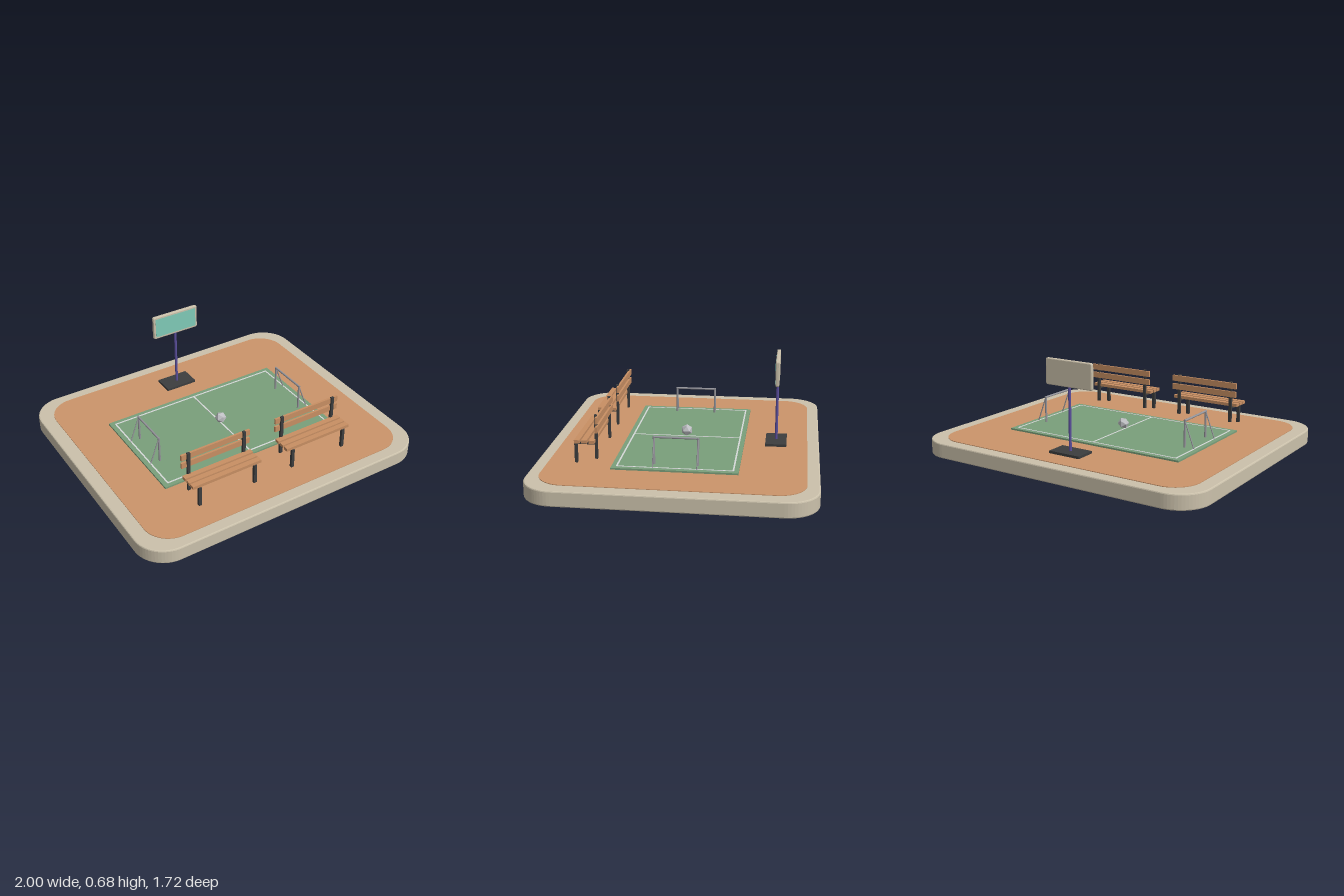
import * as THREE from 'three';

const mat = (name, color) => Object.assign(new THREE.MeshStandardMaterial({ color }), { name });
const M = {
  stone: mat('stone', 0xcbc1ab),
  clay: mat('clay', 0xcb956b),
  grass: mat('grass', 0x7a9f7b),
  paint: mat('linePaint', 0xd6d9d8),
  wood: mat('wood', 0xc88f63),
  iron: mat('darkIron', 0x3c3d3e),
  steel: mat('steel', 0x96969c),
  pole: mat('purplePole', 0x5b4f9e),
  screen: mat('screen', 0x7fcab8),
  ball: mat('ball', 0xbfc0c4),
};

function add(parent, name, geometry, material, x = 0, y = 0, z = 0) {
  const mesh = new THREE.Mesh(geometry, material);
  mesh.name = name;
  mesh.position.set(x, y, z);
  parent.add(mesh);
  return mesh;
}

const box = (parent, name, material, w, h, d, x, y, z) =>
  add(parent, name, new THREE.BoxGeometry(w, h, d), material, x, y, z);

// Round bar between two points
function bar(parent, name, material, r, a, b) {
  const p = new THREE.Vector3(...a), q = new THREE.Vector3(...b);
  const mid = p.clone().add(q).multiplyScalar(0.5);
  const mesh = add(parent, name, new THREE.CylinderGeometry(r, r, p.distanceTo(q), 10), material, mid.x, mid.y, mid.z);
  mesh.quaternion.setFromUnitVectors(new THREE.Vector3(0, 1, 0), q.sub(p).normalize());
  return mesh;
}

// Rounded rectangle extruded along z from 0 to depth, bevel kept inside the given size
function roundedPlate(w, h, r, depth, bevel) {
  const x = w / 2 - bevel, y = h / 2 - bevel, k = Math.max(r - bevel, 0.001);
  const s = new THREE.Shape();
  s.absarc(x - k, y - k, k, 0, Math.PI / 2);
  s.absarc(-x + k, y - k, k, Math.PI / 2, Math.PI);
  s.absarc(-x + k, -y + k, k, Math.PI, Math.PI * 1.5);
  s.absarc(x - k, -y + k, k, Math.PI * 1.5, Math.PI * 2);
  const geo = new THREE.ExtrudeGeometry(s, {
    depth: depth - 2 * bevel, bevelEnabled: bevel > 0,
    bevelSize: bevel, bevelThickness: bevel, bevelSegments: 2, curveSegments: 8,
  });
  return geo.translate(0, 0, bevel);
}

function makeBench(x) {
  const bench = new THREE.Group();
  bench.name = 'bench';
  bench.position.x = x;
  for (const z of [0.507, 0.553, 0.597])
    box(bench, 'seatSlat', M.wood, 0.48, 0.02, 0.034, 0, 0.246, z);
  for (const y of [0.322, 0.38])
    box(bench, 'backSlat', M.wood, 0.48, 0.039, 0.014, 0, y, 0.477);
  for (const side of [-1, 1]) {
    const px = side * 0.195;
    box(bench, 'frontLeg', M.iron, 0.02, 0.136, 0.018, px, 0.168, 0.612);
    box(bench, 'backPost', M.iron, 0.02, 0.277, 0.016, px, 0.268, 0.486);
    box(bench, 'seatRail', M.iron, 0.018, 0.016, 0.128, px, 0.228, 0.55);
  }
  return bench;
}

function makeGoal(side) {
  const goal = new THREE.Group();
  goal.name = 'goal';
  const x = side * 0.535, back = side * 0.6;
  for (const z of [-0.133, 0.133]) {
    bar(goal, 'goalPost', M.steel, 0.007, [x, 0.11, z], [x, 0.288, z]);
    bar(goal, 'goalBrace', M.steel, 0.004, [back, 0.112, z], [x, 0.283, z]);
  }
  bar(goal, 'crossbar', M.steel, 0.007, [x, 0.283, -0.139], [x, 0.283, 0.139]);
  return goal;
}

function makeSign() {
  const sign = new THREE.Group();
  sign.name = 'scoreboard';
  sign.position.z = -0.584;
  box(sign, 'signFoot', M.iron, 0.22, 0.018, 0.135, 0, 0.108, 0);
  bar(sign, 'signPole', M.pole, 0.009, [0, 0.1, 0], [0, 0.53, 0]);
  add(sign, 'signPanel', roundedPlate(0.336, 0.164, 0.012, 0.024, 0.006), M.stone, 0, 0.593, -0.012);
  box(sign, 'signScreen', M.screen, 0.306, 0.134, 0.004, 0, 0.593, 0.0115);
  return sign;
}

export function createModel() {
  const model = new THREE.Group();
  model.name = 'sportsCourt';

  // Ground layers
  add(model, 'base', roundedPlate(2, 1.72, 0.2, 0.097, 0.008), M.stone).rotation.x = -Math.PI / 2;
  add(model, 'clayGround', roundedPlate(1.82, 1.57, 0.17, 0.008, 0), M.clay, 0, 0.093, 0).rotation.x = -Math.PI / 2;
  box(model, 'field', M.grass, 1.27, 0.016, 0.765, 0, 0.104, 0);

  // Field markings
  for (const x of [-0.6, 0, 0.6]) box(model, 'crossLine', M.paint, 0.01, 0.002, 0.708, x, 0.1125, 0);
  for (const z of [-0.35, 0.35]) box(model, 'sideLine', M.paint, 1.2, 0.002, 0.01, 0, 0.1127, z);

  // Ball
  const ball = new THREE.IcosahedronGeometry(0.038, 0);
  add(model, 'ball', ball, M.ball, 0, 0.154, 0);

  for (const side of [-1, 1]) {
    model.add(makeGoal(side));
    model.add(makeBench(side * 0.335));
  }
  model.add(makeSign());
  return model;
}
